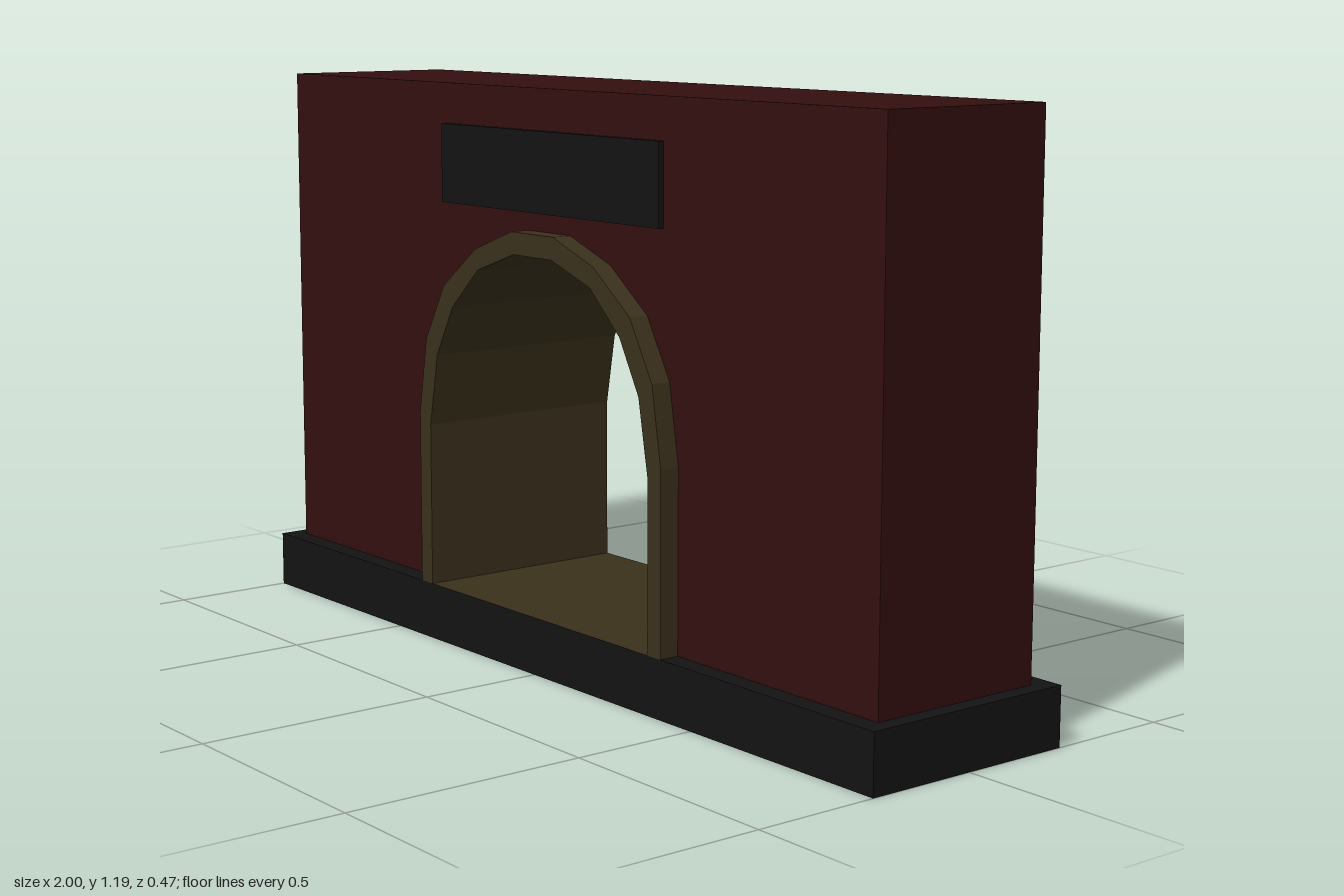
import * as THREE from 'three';

const BASE_H = 0.12, BASE_Z = 0.237, WALL_X = 0.965, WALL_Z = 0.194, WALL_TOP = 1.19;

const material = (color) =>
  new THREE.MeshStandardMaterial({ color, flatShading: true, side: THREE.DoubleSide });
const red = material(0x330f0f), black = material(0x131313), stone = material(0x3b311c);

// Right half of an arch, foot to crown, mirrored into a full outline (counter-clockwise)
function arch(half) {
  return [...half, ...half.map(([x, y]) => [-x, y]).reverse()];
}
const outerArch = arch([[0.41, BASE_H], [0.41, 0.49], [0.383, 0.65], [0.315, 0.77], [0.2, 0.856], [0.07, 0.903]]);
const innerArch = arch([[0.37, BASE_H], [0.37, 0.467], [0.342, 0.62], [0.283, 0.728], [0.19, 0.814], [0.064, 0.857]]);

const flat = (points) =>
  new THREE.ShapeGeometry(new THREE.Shape(points.map(([x, y]) => new THREE.Vector2(x, y))));

// Uncapped strip of quads sweeping an outline from z0 to z1
function skin(points, z0, z1) {
  const pos = [];
  for (let i = 0; i < points.length - 1; i++) {
    const [ax, ay] = points[i], [bx, by] = points[i + 1];
    pos.push(ax, ay, z0, bx, by, z0, bx, by, z1);
    pos.push(ax, ay, z0, bx, by, z1, ax, ay, z1);
  }
  const g = new THREE.BufferGeometry();
  g.setAttribute('position', new THREE.Float32BufferAttribute(pos, 3));
  g.computeVertexNormals();
  return g;
}

export function createModel() {
  const model = new THREE.Group();
  model.name = 'archedGateway';
  const add = (name, geometry, mat) => {
    const mesh = new THREE.Mesh(geometry, mat);
    mesh.name = name;
    model.add(mesh);
    return mesh;
  };

  // Hollow plinth, open underneath, with a ledge around the wall
  const plan = [[-1, -BASE_Z], [1, -BASE_Z], [1, BASE_Z], [-1, BASE_Z], [-1, -BASE_Z]];
  add('plinthSides', skin(plan, 0, BASE_H).rotateX(-Math.PI / 2), black);
  const ledge = [
    [0.37, -BASE_Z], [1, -BASE_Z], [1, BASE_Z], [0.37, BASE_Z],
    [0.37, WALL_Z], [WALL_X, WALL_Z], [WALL_X, -WALL_Z], [0.37, -WALL_Z],
  ];

  // Wall ends and roof
  const wallOutline = [[WALL_X, BASE_H], [WALL_X, WALL_TOP], [-WALL_X, WALL_TOP], [-WALL_X, BASE_H]];
  add('wallEndsAndTop', skin(wallOutline, -WALL_Z, WALL_Z), red);

  // Tunnel lining with its floor
  const lining = [...innerArch, innerArch[0]].reverse();
  add('tunnelLining', skin(lining, -BASE_Z, BASE_Z), stone);

  // Matching parts on the front and back
  const wallFace = [...wallOutline, ...[...outerArch].reverse()];
  const rimFace = [...outerArch, ...[...innerArch].reverse()];
  for (const [side, angle] of [['front', 0], ['back', Math.PI]]) {
    add(side + 'WallFace', flat(wallFace).translate(0, 0, WALL_Z).rotateY(angle), red);
    add(side + 'ArchRim', flat(rimFace).translate(0, 0, BASE_Z).rotateY(angle), stone);
    add(side + 'ArchJacket', skin(outerArch, WALL_Z, BASE_Z).rotateY(angle), stone);
    add(side + 'Plaque', new THREE.BoxGeometry(0.726, 0.165, 0.012)
      .translate(0, 1.023, WALL_Z + 0.006).rotateY(angle), black);
    add(side === 'front' ? 'leftLedge' : 'rightLedge',
      flat(ledge).rotateX(-Math.PI / 2).translate(0, BASE_H, 0).rotateY(angle), black);
  }
  return model;
}
